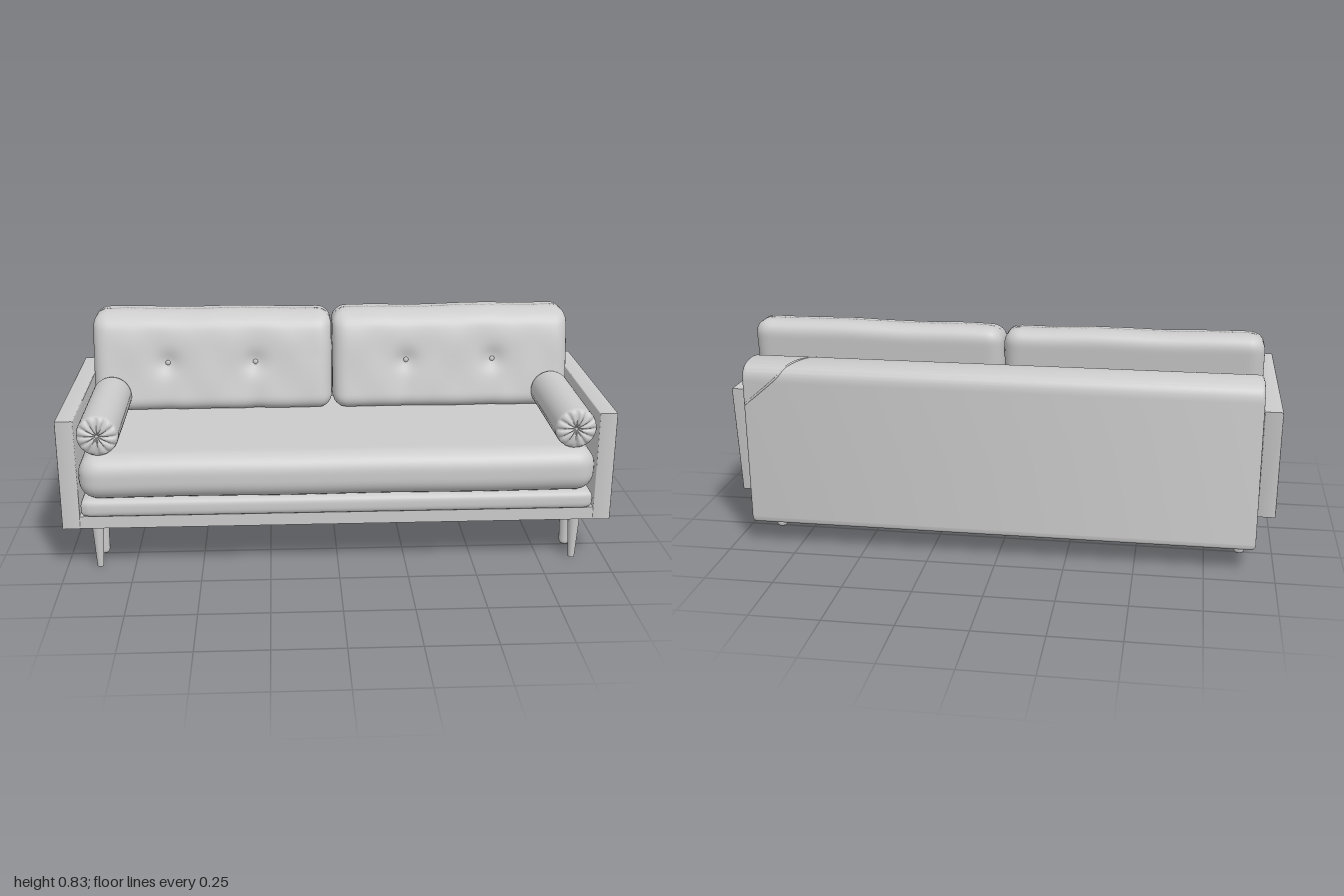
import * as THREE from 'three';
import { mergeVertices, toCreasedNormals } from 'three/addons/utils/BufferGeometryUtils.js';

const material = new THREE.MeshStandardMaterial({ color: 0xcccccc });

// Box with rounded edges and enough segments to be bent by a rule
function softBox(w, h, d, r, segs, deform) {
  let g = new THREE.BoxGeometry(w, h, d, ...segs);
  const p = g.attributes.position, v = new THREE.Vector3(), c = new THREE.Vector3();
  const inner = new THREE.Vector3(w / 2 - r, h / 2 - r, d / 2 - r);
  const low = inner.clone().negate();
  for (let i = 0; i < p.count; i++) {
    v.fromBufferAttribute(p, i);
    c.copy(v).clamp(low, inner);
    v.sub(c).setLength(r).add(c);
    if (deform) deform(v);
    p.setXYZ(i, v.x, v.y, v.z);
  }
  g.deleteAttribute('uv');
  g.deleteAttribute('normal');
  g = mergeVertices(g, 1e-5);
  g.computeVertexNormals();
  return g;
}

// Side outline in (z, y), extruded across x and centred
function sideExtrude(shape, width, bevel) {
  const depth = width - 2 * bevel;
  const g = new THREE.ExtrudeGeometry(shape, {
    depth, bevelSize: bevel, bevelThickness: bevel, bevelOffset: -bevel, bevelSegments: 4, curveSegments: 10,
  });
  g.translate(0, 0, -depth / 2).rotateY(-Math.PI / 2);
  return toCreasedNormals(g, 0.6);
}

// Bolster along z with pleated, dimpled ends
function bolsterGeometry(radius, length) {
  const end = [[0, 0.012], [0.008, 0.011], [0.016, 0.004], [0.035, 0.001], [0.055, 0.003],
    [0.067, 0.008], [0.073, 0.015], [radius, 0.026]];
  const pts = [
    ...end.map(([r, i]) => new THREE.Vector2(r, -length / 2 + i)),
    ...end.slice().reverse().map(([r, i]) => new THREE.Vector2(r, length / 2 - i)),
  ];
  let g = new THREE.LatheGeometry(pts, 72);
  const p = g.attributes.position;
  for (let i = 0; i < p.count; i++) {
    const x = p.getX(i), y = p.getY(i), z = p.getZ(i), r = Math.hypot(x, z);
    if (r > 0.01 && r < 0.07) {
      const pleat = 0.009 * Math.pow(Math.abs(Math.sin(Math.atan2(z, x) * 6)), 0.6) - 0.007;
      p.setY(i, y + Math.sign(y) * pleat);
    }
  }
  g.deleteAttribute('uv');
  g.deleteAttribute('normal');
  g = mergeVertices(g, 1e-5);
  g.computeVertexNormals();
  return g.rotateX(Math.PI / 2);
}

export function createModel() {
  const group = new THREE.Group();
  const add = (name, geometry, x = 0, y = 0, z = 0) => {
    const mesh = new THREE.Mesh(geometry, material);
    mesh.name = name;
    mesh.position.set(x, y, z);
    group.add(mesh);
    return mesh;
  };
  const box = (name, w, h, d, x, y, z) => add(name, new THREE.BoxGeometry(w, h, d), x, y, z);

  // Base frame, mattress layer and seat cushion
  box('seatFrame', 1.88, 0.047, 0.69, 0, 0.1985, 0.065);
  box('underFrame', 1.8, 0.042, 0.47, 0, 0.154, -0.01);
  add('lowerCushion', softBox(1.86, 0.07, 0.71, 0.025, [60, 8, 40]), 0, 0.254, 0.07);
  add('seatCushion', softBox(1.865, 0.168, 0.735, 0.07, [90, 14, 40], (v) => {
    v.y += 0.003 * Math.sin(v.x * 9) * Math.max(0, v.z);
  }), 0, 0.372, 0.082);

  // Backrest panel with a domed top
  const back = new THREE.Shape();
  back.moveTo(-0.425, 0.09);
  back.lineTo(-0.305, 0.09);
  back.quadraticCurveTo(-0.285, 0.09, -0.285, 0.11);
  back.lineTo(-0.288, 0.68);
  back.quadraticCurveTo(-0.29, 0.7, -0.32, 0.707);
  back.quadraticCurveTo(-0.37, 0.714, -0.41, 0.702);
  back.quadraticCurveTo(-0.45, 0.69, -0.45, 0.64);
  back.lineTo(-0.443, 0.12);
  back.quadraticCurveTo(-0.445, 0.09, -0.425, 0.09);
  add('backrest', sideExtrude(back, 1.86, 0.018));

  // Diagonal seam over one backrest corner
  const seam = new THREE.CatmullRomCurve3([
    [0.69, 0.7, -0.305], [0.73, 0.709, -0.37], [0.765, 0.698, -0.42], [0.8, 0.66, -0.448], [0.922, 0.555, -0.446],
  ].map((a) => new THREE.Vector3(...a)));
  add('backrestSeam', new THREE.TubeGeometry(seam, 32, 0.004, 6));

  // Arm outline, slanted at the back
  const arm = new THREE.Shape();
  arm.moveTo(0.412, 0.175);
  arm.lineTo(0.415, 0.588);
  arm.lineTo(-0.37, 0.588);
  arm.lineTo(-0.325, 0.175);
  arm.closePath();
  const armGeometry = sideExtrude(arm, 0.065, 0.005);

  const bolster = bolsterGeometry(0.075, 0.49);
  const frontLeg = new THREE.CylinderGeometry(0.023, 0.012, 0.18, 24);
  const innerLeg = new THREE.LatheGeometry(
    [[0, 0], [0.014, 0], [0.019, 0.005], [0.021, 0.015], [0.024, 0.13]].map((a) => new THREE.Vector2(...a)), 24);

  // Tufted back cushion: leaning, thinner towards the top, dimpled at the buttons
  const tufts = [-0.175, 0.165];
  const lean = (y) => -0.16 * y;
  const cushionShape = (side) => softBox(0.928, 0.375, 0.2, 0.055, [64, 32, 14], (v) => {
    const t = v.y / 0.1875;
    v.z *= 1 - 0.09 * t;
    if (v.z > 0) {
      for (const tx of tufts) {
        const dx = v.x - tx, d2 = dx * dx + v.y * v.y;
        v.z -= 0.016 * Math.exp(-d2 / 0.0016) + 0.008 * Math.exp(-d2 / 0.012);
        v.z -= 0.005 * Math.exp(-dx * dx / 0.0012) * Math.max(0, -t);
      }
      if (t > 0) v.z -= 0.03 * t ** 4;
      v.z += 0.0015 * Math.sin(v.x * 31 + side) * Math.sin(v.y * 23);
    }
    // Soft upper edge, slightly raised at the outer corner
    if (v.y > 0) v.y += 0.006 * (v.x * side) + 0.002 * Math.sin(v.x * 14);
    v.z += lean(v.y);
  });

  for (const side of [1, -1]) {
    const label = side > 0 ? 'left' : 'right';
    add(label + 'Arm', armGeometry, side * 0.9675);
    add(label + 'Bolster', bolster, side * 0.856, 0.526, 0.167);

    add(label + 'BackCushion', cushionShape(side), side * 0.465, 0.641, -0.185);
    for (const tx of tufts) {
      const button = add(label + 'CushionButton', new THREE.SphereGeometry(0.01, 16, 10),
        side * 0.465 + tx, 0.641, -0.107);
      button.scale.z = 0.5;
    }

    // Legs: slim tapered front leg, two stouter legs under mounting blocks
    add(label + 'FrontLeg', frontLeg, side * 0.88, 0.09, 0.355);
    for (const z of [0.237, -0.247]) {
      add(label + 'InnerLeg', innerLeg, side * 0.88, 0, z);
      box(label + 'LegBlock', 0.045, 0.055, 0.066, side * 0.88, 0.1525, z);
    }
  }
  return group;
}
